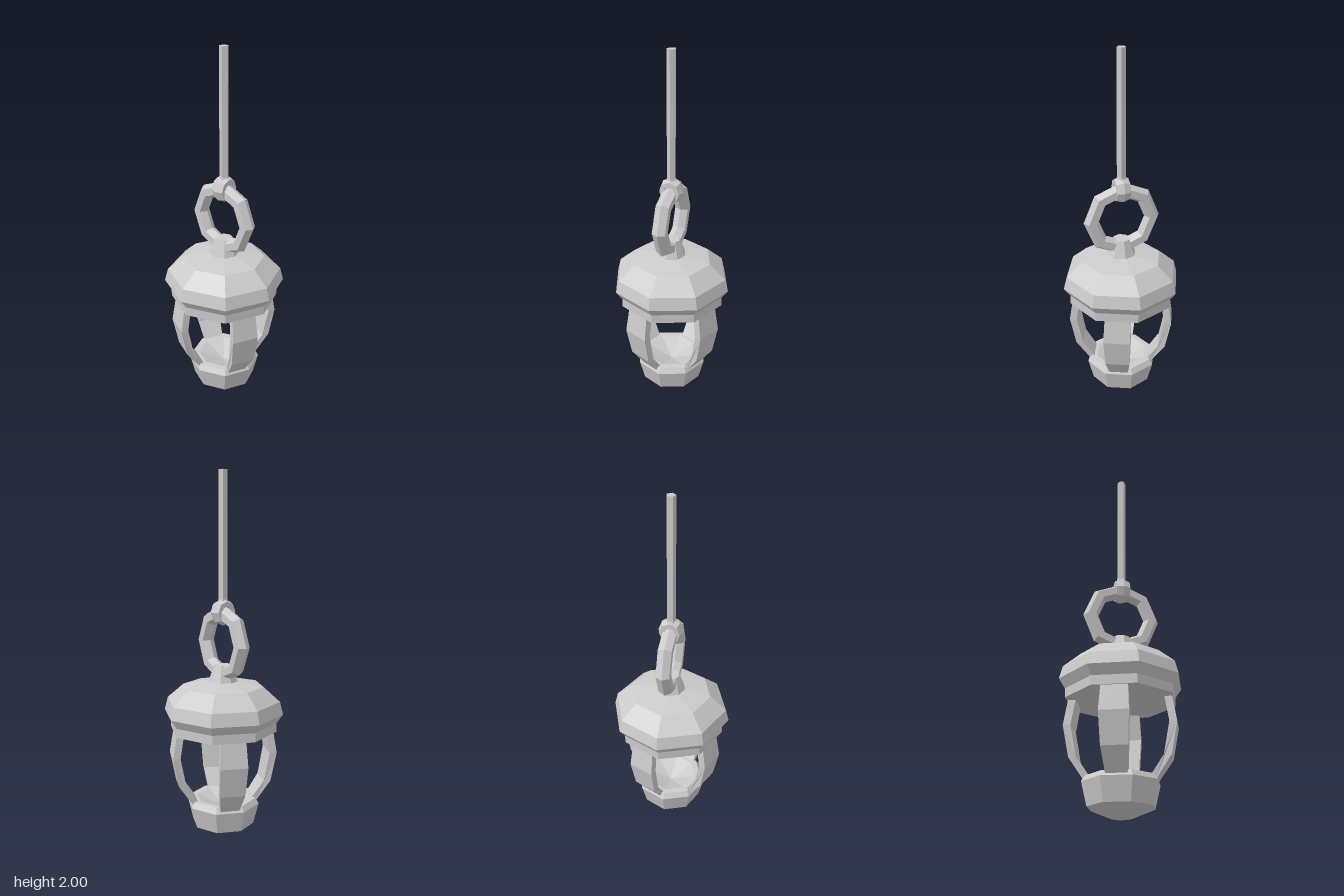
import * as THREE from 'three';

export function createModel() {
  const model = new THREE.Group();
  const mat = new THREE.MeshStandardMaterial({ color: 0xcccccc, flatShading: true });

  const add = (name, geometry) => {
    const mesh = new THREE.Mesh(geometry, mat);
    mesh.name = name;
    model.add(mesh);
    return mesh;
  };
  // Eight-sided turned part from [radius, height] pairs, bottom to top
  const turned = (name, profile) =>
    add(name, new THREE.LatheGeometry(profile.map(p => new THREE.Vector2(...p)), 8));

  // Base cup with a shallow hollow on top
  turned('base', [[0, 0], [0.055, 0], [0.175, 0.05], [0.205, 0.17], [0.185, 0.2], [0.15, 0.2], [0, 0.14]]);

  // Roof with lower band, and the finial holding the ring
  turned('roof', [[0, 0.595], [0.3, 0.595], [0.3, 0.645], [0.335, 0.695], [0.317, 0.765], [0.225, 0.845], [0, 0.885]]);
  turned('finial', [[0.083, 0.865], [0.048, 0.962], [0, 0.962]]);

  // Four bowed ribs: [height, outer radius, width]
  const sections = [[0.17, 0.175, 0.105], [0.295, 0.26, 0.135], [0.46, 0.292, 0.15], [0.61, 0.268, 0.135]];
  const thickness = 0.04;
  const outer = sections.map(([y, r]) => new THREE.Vector2(r, y));
  const inner = sections.map(([y, r]) => new THREE.Vector2(r - thickness, y)).reverse();
  const ribGeo = new THREE.ExtrudeGeometry(new THREE.Shape([...outer, ...inner]), { depth: 1, bevelEnabled: false });
  ribGeo.translate(0, 0, -0.5);
  const pos = ribGeo.attributes.position;
  for (let i = 0; i < pos.count; i++) {
    const section = sections.find(s => Math.abs(s[0] - pos.getY(i)) < 0.001);
    pos.setZ(i, pos.getZ(i) * section[2]);
  }
  ribGeo.computeVertexNormals();
  for (let i = 0; i < 4; i++) {
    add('rib', ribGeo).rotation.y = THREE.MathUtils.degToRad(-22.5 - 90 + i * 90);
  }

  // Hanging ring
  add('ring', new THREE.TorusGeometry(0.171, 0.043, 6, 8)).position.set(-0.002, 1.08, 0);

  // Small eye linking the ring to the rod
  const eyeGeo = new THREE.TorusGeometry(0.043, 0.025, 6, 8);
  eyeGeo.scale(1, 1.1, 1.75);
  const eye = add('eye', eyeGeo);
  eye.rotation.y = Math.PI / 2;
  eye.position.set(0, 1.252, 0);

  // Collar and rod
  const collar = add('collar', new THREE.CylinderGeometry(0.024, 0.038, 0.07, 5));
  collar.rotation.y = Math.PI / 2;
  collar.position.y = 1.295;
  const rod = add('rod', new THREE.CylinderGeometry(0.025, 0.025, 0.71, 5));
  rod.rotation.y = Math.PI / 2;
  rod.position.y = 1.645;

  return model;
}
